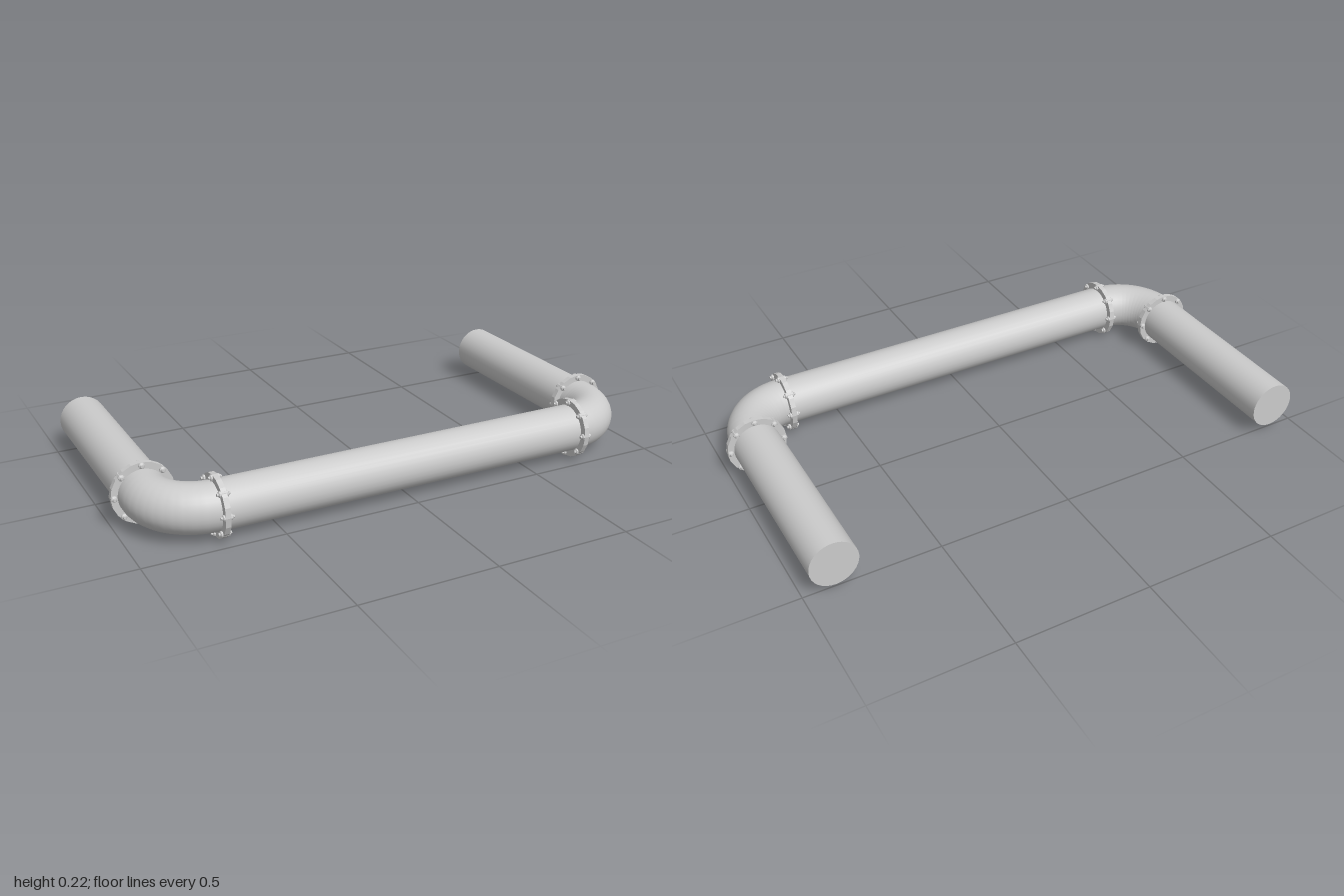
import * as THREE from 'three';

const R = 0.087, Y = 0.112, LEG_X = 0.888, BAR_Z = 0.404;
const FLANGE_X = 0.706, FLANGE_Z = 0.2, BACK_Z = -0.518, BEND = 0.176;

const material = new THREE.MeshStandardMaterial({ color: 0xcccccc });
const flatMaterial = new THREE.MeshStandardMaterial({ color: 0xcccccc, flatShading: true });

function addMesh(parent, name, geometry, mat = material) {
  const mesh = new THREE.Mesh(geometry, mat);
  mesh.name = name;
  parent.add(mesh);
  return mesh;
}

// Bolted flange whose axis runs along local y
function createFlange(name) {
  const flange = new THREE.Group();
  flange.name = name;
  addMesh(flange, 'flangeDisc', new THREE.CylinderGeometry(0.111, 0.111, 0.019, 20), flatMaterial);
  // Half profile of a bolt: shank ends, domed head and nut on either side of the disc
  const half = [[0, 0.023], [0.005, 0.023], [0.006, 0.018], [0.011, 0.015], [0.011, 0.0095]];
  const profile = [...half, ...half.slice().reverse().map(([r, y]) => [r, -y])]
    .reverse().map(([r, y]) => new THREE.Vector2(r, y));
  const boltGeometry = new THREE.LatheGeometry(profile, 10);
  for (let i = 0; i < 8; i++) {
    const a = i * Math.PI / 4;
    const bolt = addMesh(flange, 'bolt', boltGeometry, flatMaterial);
    bolt.position.set(Math.cos(a) * 0.1, 0, Math.sin(a) * 0.1);
  }
  return flange;
}

// Quarter bend with short straight tails reaching into both flanges
function elbowGeometry(side) {
  const path = new THREE.CurvePath();
  const p = (x, z) => new THREE.Vector3(side * x, 0, z);
  const cx = LEG_X - BEND, cz = BAR_Z - BEND;
  const points = [p(FLANGE_X - 0.005, BAR_Z)];
  for (let i = 0; i <= 12; i++) {
    const a = i / 12 * Math.PI / 2;
    points.push(p(cx + BEND * Math.sin(a), cz + BEND * Math.cos(a)));
  }
  points.push(p(LEG_X, FLANGE_Z - 0.005));
  for (let i = 1; i < points.length; i++) path.add(new THREE.LineCurve3(points[i - 1], points[i]));
  return new THREE.TubeGeometry(path, 28, R, 32, false);
}

export function createModel() {
  const model = new THREE.Group();
  model.name = 'pipeAssembly';

  // Long cross pipe
  const bar = addMesh(model, 'crossPipe', new THREE.CylinderGeometry(R, R, FLANGE_X * 2, 32));
  bar.rotation.z = Math.PI / 2;
  bar.position.set(0, Y, BAR_Z);

  for (const side of [1, -1]) {
    const label = side > 0 ? 'left' : 'right';

    // Straight leg running to the back
    const leg = addMesh(model, label + 'LegPipe',
      new THREE.CylinderGeometry(R, R, FLANGE_Z - BACK_Z, 32));
    leg.rotation.x = Math.PI / 2;
    leg.position.set(side * LEG_X, Y, (FLANGE_Z + BACK_Z) / 2);

    // Elbow
    addMesh(model, label + 'Elbow', elbowGeometry(side)).position.y = Y;

    // Flange on each end of the elbow
    const barFlange = createFlange(label + 'CrossFlange');
    barFlange.rotation.z = Math.PI / 2;
    barFlange.position.set(side * FLANGE_X, Y, BAR_Z);
    const legFlange = createFlange(label + 'LegFlange');
    legFlange.rotation.x = Math.PI / 2;
    legFlange.position.set(side * LEG_X, Y, FLANGE_Z);
    model.add(barFlange, legFlange);
  }
  return model;
}
